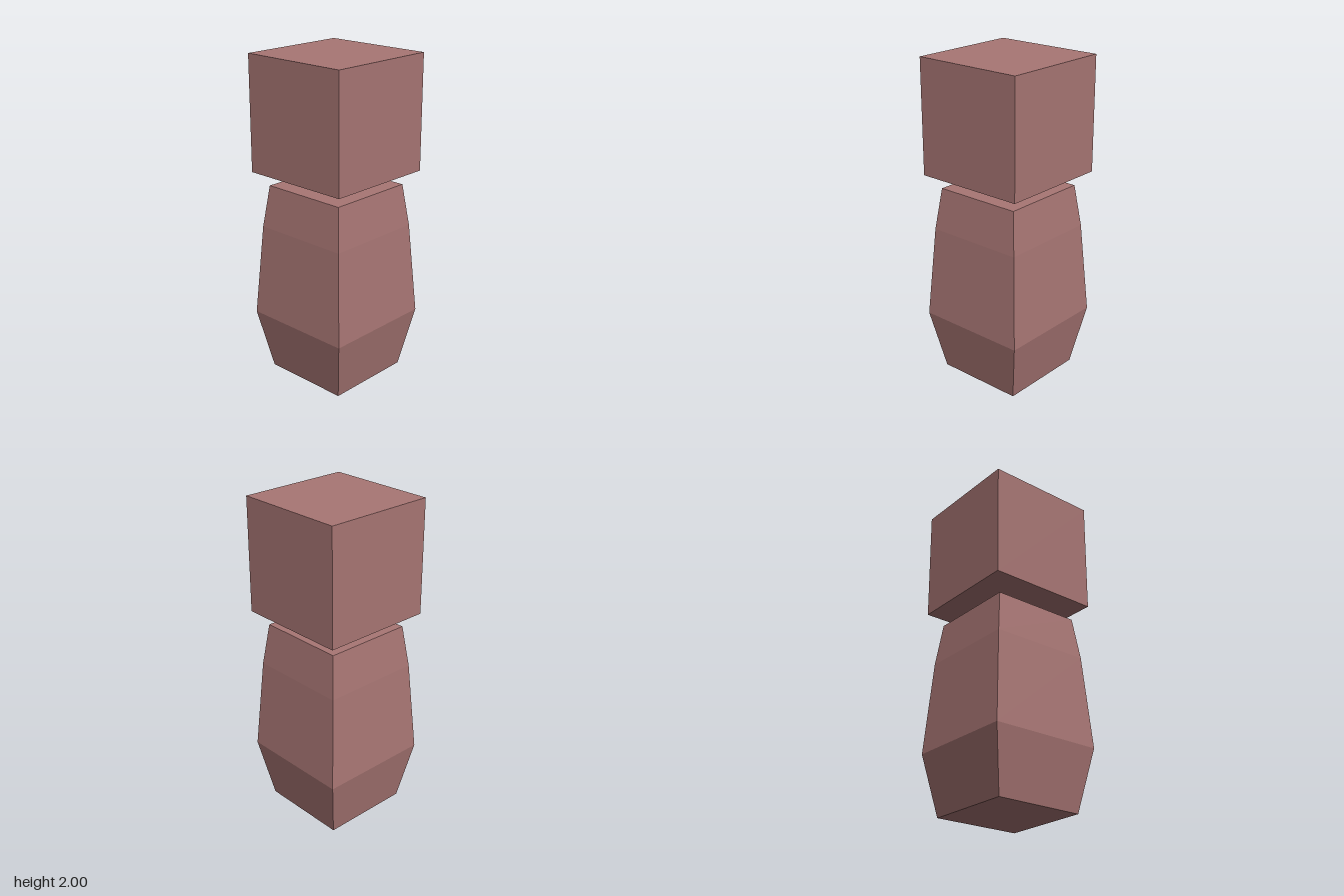
import * as THREE from 'three';

// Square cross-sections of the body, from bottom to top: [height, half width]
const BODY_RINGS = [[0, 0.28], [0.38, 0.353], [0.95, 0.313], [1.21, 0.28]];
const HEAD_SIZE = 0.705;

function taperedBody() {
  const last = BODY_RINGS.length - 1;
  const geometry = new THREE.BoxGeometry(2, last, 2, 1, last, 1);
  const position = geometry.attributes.position;
  // Move every level of the box to its ring
  for (let i = 0; i < position.count; i++) {
    const [y, half] = BODY_RINGS[Math.round(position.getY(i) + last / 2)];
    position.setXYZ(i, position.getX(i) * half, y, position.getZ(i) * half);
  }
  geometry.computeVertexNormals();
  return geometry;
}

export function createModel() {
  const model = new THREE.Group();
  model.name = 'blockFigure';
  const material = new THREE.MeshStandardMaterial({ color: 0xa87674, flatShading: true });

  // Faceted body, widest below the middle
  const body = new THREE.Mesh(taperedBody(), material);
  body.name = 'body';

  // Cube head floating just above the body
  const head = new THREE.Mesh(new THREE.BoxGeometry(HEAD_SIZE, HEAD_SIZE, HEAD_SIZE), material);
  head.name = 'head';
  head.position.y = 2 - HEAD_SIZE / 2;

  model.add(body, head);
  return model;
}
